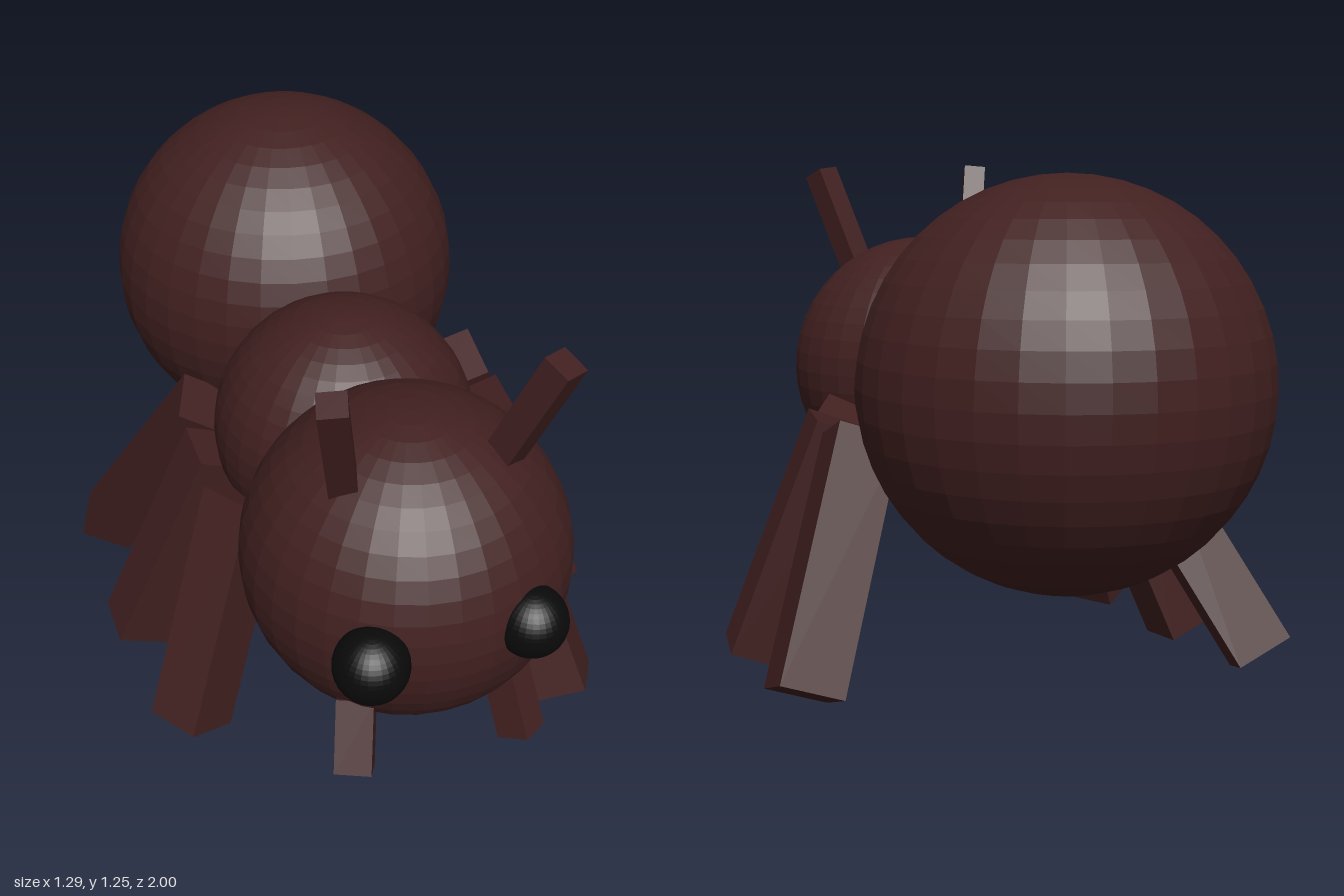
import * as THREE from 'three';

export function createModel() {
  const model = new THREE.Group();
  const brown = new THREE.MeshStandardMaterial({ color: 0x422020, flatShading: true });
  const black = new THREE.MeshStandardMaterial({ color: 0x0a0a0a, flatShading: true });

  const ball = (name, radius, position, material = brown) => {
    const mesh = new THREE.Mesh(new THREE.SphereGeometry(radius, 32, 24), material);
    mesh.name = name;
    mesh.position.set(...position);
    model.add(mesh);
  };

  // Square bar from the centre of one end to the other, turned by yaw about its own length
  const up = new THREE.Vector3(0, 1, 0);
  const bar = (name, width, top, bottom, yaw = 0) => {
    const a = new THREE.Vector3(...top);
    const b = new THREE.Vector3(...bottom);
    const mesh = new THREE.Mesh(new THREE.BoxGeometry(width, a.distanceTo(b), width), brown);
    mesh.name = name;
    mesh.position.copy(a).add(b).multiplyScalar(0.5);
    mesh.quaternion.setFromUnitVectors(up, a.clone().sub(b).normalize());
    mesh.rotateY(yaw);
    model.add(mesh);
  };

  // Body
  ball('abdomen', 0.45, [0.01, 0.77, -0.55]);
  ball('thorax', 0.315, [-0.015, 0.685, 0.1]);
  ball('head', 0.363, [-0.02, 0.695, 0.583]);

  // Eyes
  ball('rightEye', 0.079, [-0.203, 0.712, 0.92], black);
  ball('leftEye', 0.077, [0.143, 0.72, 0.9], black);

  // Legs, each side posed slightly differently
  bar('leftFrontLeg', 0.15, [0.28, 0.6, 0.28], [0.42, 0.085, 0.53], -0.45);
  bar('leftMiddleLeg', 0.15, [0.36, 0.62, 0.03], [0.57, 0.05, 0.085], -0.07);
  bar('leftBackLeg', 0.15, [0.36, 0.62, -0.16], [0.55, 0.08, -0.36]);
  bar('rightFrontLeg', 0.14, [-0.29, 0.6, 0.2], [-0.485, 0.057, 0.36], 0.6);
  bar('rightMiddleLeg', 0.14, [-0.31, 0.6, 0.01], [-0.55, 0.045, -0.02], 0.08);
  bar('rightBackLeg', 0.14, [-0.3, 0.6, -0.18], [-0.56, 0.08, -0.415], -0.25);

  // Antennae
  bar('leftAntenna', 0.065, [0.23, 1.24, 0.76], [0.15, 0.98, 0.68], 0.5);
  bar('rightAntenna', 0.06, [-0.24, 1.25, 0.775], [-0.19, 0.97, 0.68], -0.25);

  // Mandibles
  bar('leftMandible', 0.075, [0.14, 0.5, 0.8], [0.16, 0.355, 0.87], 0.7);
  bar('rightMandible', 0.08, [-0.195, 0.5, 0.8], [-0.222, 0.36, 0.875], -0.4);

  return model;
}
